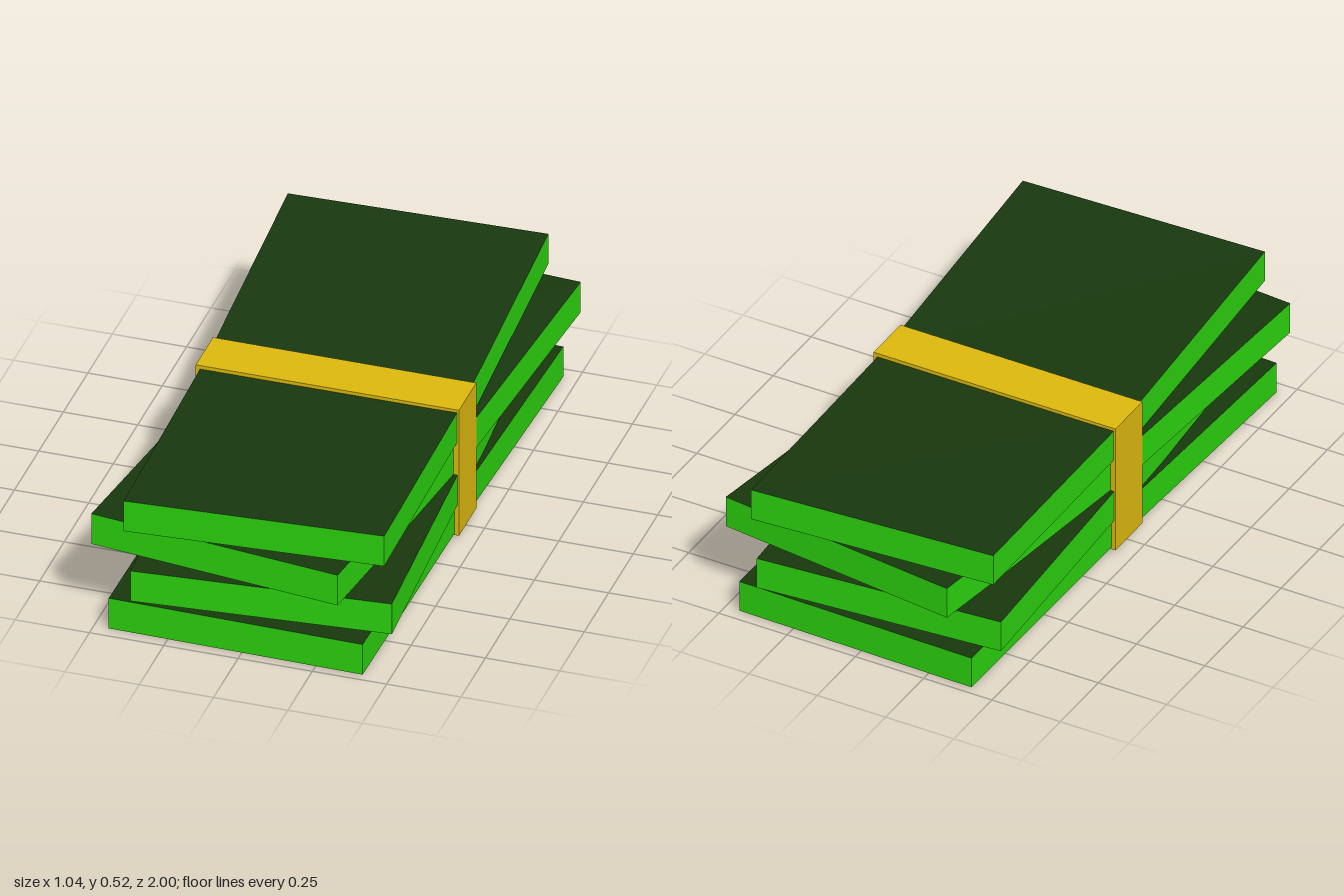
import * as THREE from 'three';

const paint = (color) => new THREE.MeshStandardMaterial({ color, flatShading: true });

// Bundles from bottom to top. Front corners as [x, z, bottom height];
// the back corners are the front ones turned half round the y axis.
const BUNDLES = [
  { left: [-0.45, 0.955, 0.0], right: [0.41, 0.972, 0.002], middle: 0.021 },
  { left: [-0.365, 0.993, 0.141], right: [0.495, 0.932, 0.147], middle: 0.123 },
  { left: [-0.522, 0.915, 0.28], right: [0.335, 1.0, 0.264], middle: 0.229 },
  { left: [-0.39, 0.985, 0.394], right: [0.473, 0.943, 0.404], middle: 0.354 },
];
const THICKNESS = 0.113;

// A slab creased across its middle, its ends bent away from the crease
function bundle({ left, right, middle }, materials) {
  const geometry = new THREE.BoxGeometry(2, 1, 2, 1, 1, 2);
  const p = geometry.attributes.position;
  for (let i = 0; i < p.count; i++) {
    const side = Math.sign(p.getX(i));
    const end = Math.round(p.getZ(i));
    const lift = p.getY(i) > 0 ? THICKNESS : 0;
    if (end === 0) {
      p.setXYZ(i, side * (right[0] - left[0]) / 2, middle + lift, side * (right[1] - left[1]) / 2);
    } else {
      const corner = side * end > 0 ? right : left;
      p.setXYZ(i, end * corner[0], corner[2] + lift, end * corner[1]);
    }
  }
  geometry.computeVertexNormals();
  return new THREE.Mesh(geometry, materials);
}

export function createModel() {
  const group = new THREE.Group();
  group.name = 'banknoteStack';

  // Bright edges, dark top and bottom faces (box face order +x -x +y -y +z -z)
  const edge = paint(0x2bd00e);
  const face = paint(0x18380e);
  const materials = [edge, edge, face, face, edge, edge];
  BUNDLES.forEach((spec, i) => {
    const mesh = bundle(spec, materials);
    mesh.name = `bundle${i + 1}`;
    group.add(mesh);
  });

  // Paper band round the middle
  const band = new THREE.Mesh(new THREE.BoxGeometry(0.886, 0.471, 0.176), paint(0xdcb80e));
  band.name = 'band';
  band.position.y = 0.2475;
  group.add(band);

  return group;
}
